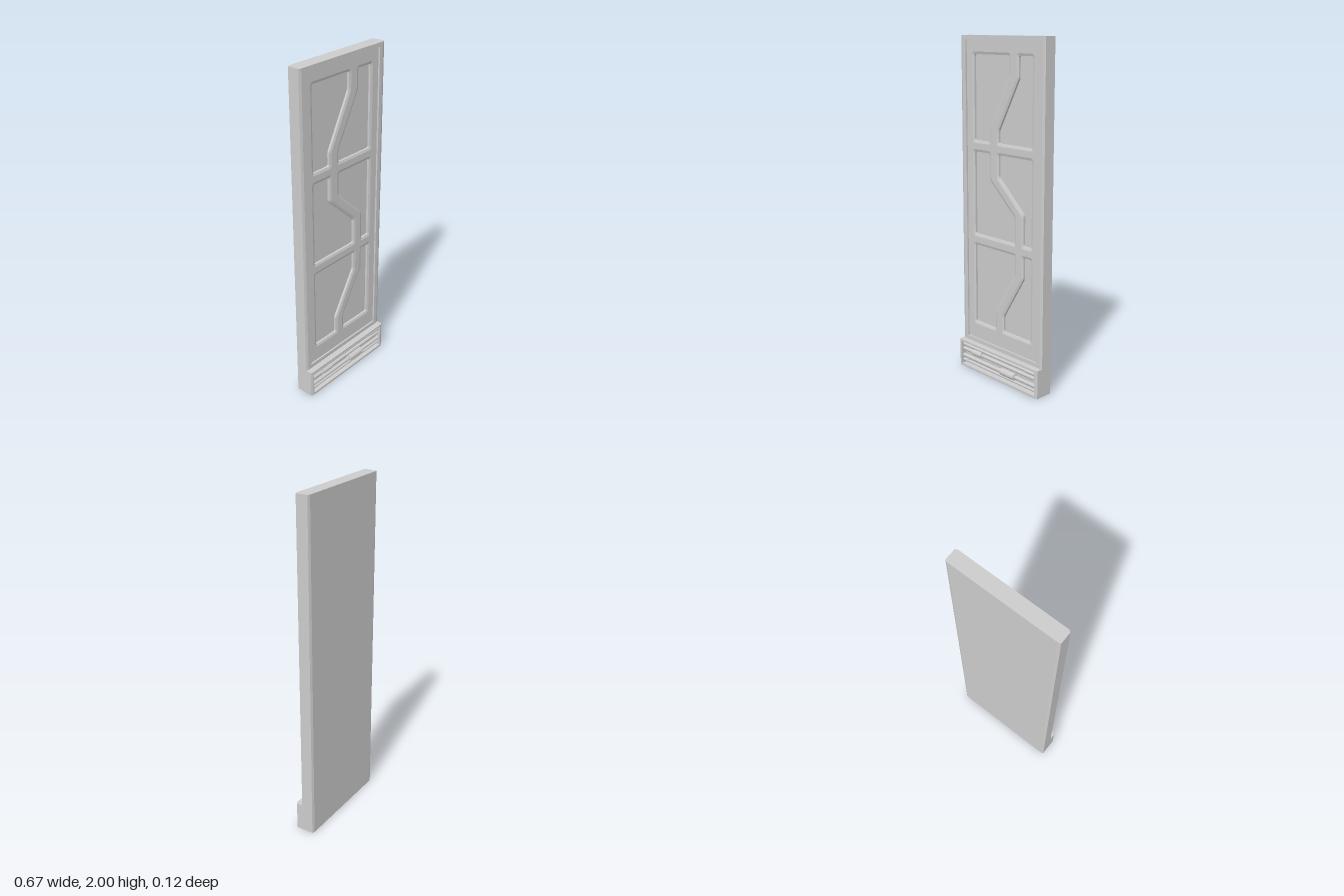
import * as THREE from 'three';

const material = new THREE.MeshStandardMaterial({ color: 0xcccccc });

// Rectangle outline, counter-clockwise seen from the front
const rect = (halfX, y0, y1) => [[-halfX, y0], [halfX, y0], [halfX, y1], [-halfX, y1]]
  .map(([x, y]) => new THREE.Vector2(x, y));

// Moves every edge of an outline inwards, then rounds the corners
function insetRounded(points, inset, radius, steps = 4) {
  const n = points.length;
  const corners = points.map((p, i) => {
    const d1 = p.clone().sub(points[(i + n - 1) % n]).normalize();
    const d2 = points[(i + 1) % n].clone().sub(p).normalize();
    const n1 = new THREE.Vector2(-d1.y, d1.x), n2 = new THREE.Vector2(-d2.y, d2.x);
    return p.clone().addScaledVector(n1.clone().add(n2), inset / (1 + n1.dot(n2)));
  });
  return corners.flatMap((p, i) => {
    const a = corners[(i + n - 1) % n].clone().sub(p).setLength(radius).add(p);
    const b = corners[(i + 1) % n].clone().sub(p).setLength(radius).add(p);
    return new THREE.QuadraticBezierCurve(a, p, b).getPoints(steps);
  });
}

// Faceted skin through matching outlines, each given as [points, z]
function skin(loops) {
  const pos = [];
  for (let k = 0; k + 1 < loops.length; k++) {
    const [a, za] = loops[k], [b, zb] = loops[k + 1];
    a.forEach((p, i) => {
      const j = (i + 1) % a.length, q = a[j], r = b[j], s = b[i];
      pos.push(p.x, p.y, za, q.x, q.y, za, r.x, r.y, zb);
      pos.push(p.x, p.y, za, r.x, r.y, zb, s.x, s.y, zb);
    });
  }
  const g = new THREE.BufferGeometry();
  g.setAttribute('position', new THREE.Float32BufferAttribute(pos, 3));
  g.computeVertexNormals();
  return g;
}

// Flat face with optional holes
function face(points, z, holes = []) {
  const shape = new THREE.Shape(points);
  shape.holes = holes.map((h) => new THREE.Path(h));
  return new THREE.ShapeGeometry(shape).translate(0, 0, z);
}

export function createModel() {
  const model = new THREE.Group();
  const add = (name, geometry, parent = model) => {
    const mesh = new THREE.Mesh(geometry, material);
    mesh.name = name;
    parent.add(mesh);
    return mesh;
  };
  const panelZ = 0.01, floorZ = -0.008;

  // Slab with chamfered long edges and a raised border
  const opening = rect(0.292, 0.195, 1.975);
  add('slab', skin([
    [rect(0.318, 0, 2), -0.061], [rect(0.333, 0, 2), -0.055],
    [rect(0.333, 0, 2), 0.014], [rect(0.318, 0, 2), 0.02],
    [opening, 0.02], [opening, panelZ],
  ]));
  add('slabBack', face(rect(0.318, 0, 2), -0.061).rotateY(Math.PI).translate(0, 0, -0.122));

  // Three rows of pockets, split by a bent rib: [top x, upper bend y, bottom x, lower bend y]
  const rows = [
    { top: 1.91, bottom: 1.395, left: [0.067, 1.79, -0.092, 1.485], right: [0.113, 1.78, -0.046, 1.485] },
    { top: 1.358, bottom: 0.838, left: [-0.092, 1.2, 0.114, 1.012], right: [-0.046, 1.21, 0.155, 1.024] },
    { top: 0.8, bottom: 0.286, left: [0.114, 0.666, -0.044, 0.4], right: [0.155, 0.66, -0.004, 0.4] },
  ];
  const outlines = rows.flatMap(({ top, bottom, left: l, right: r }) => [
    [[-0.247, bottom], [l[2], bottom], [l[2], l[3]], [l[0], l[1]], [l[0], top], [-0.247, top]],
    [[r[2], bottom], [0.246, bottom], [0.246, top], [r[0], top], [r[0], r[1]], [r[2], r[3]]],
  ]).map((pts) => pts.map(([x, y]) => new THREE.Vector2(x, y)));

  const rims = outlines.map((o) => insetRounded(o, 0, 0.02));
  add('panel', face(opening, panelZ, rims));
  const pockets = new THREE.Group();
  pockets.name = 'pockets';
  model.add(pockets);
  outlines.forEach((o, i) => {
    const inner = insetRounded(o, 0.014, 0.01);
    add('pocketWall', skin([[rims[i], panelZ], [inner, 0.005], [inner, floorZ]]), pockets);
    add('pocketFloor', face(inner, floorZ), pockets);
  });

  // Plinth box at the foot, open at the front
  const mouth = rect(0.312, 0.014, 0.158);
  add('plinth', skin([
    [rect(0.333, 0, 0.17), 0], [rect(0.333, 0, 0.17), 0.051],
    [rect(0.318, 0, 0.17), 0.057], [mouth, 0.057], [mouth, 0.021],
  ]));
  add('plinthBack', face(mouth, 0.021));

  // Horizontal rods in the plinth, each carrying one thicker sleeve
  const rod = (name, x0, x1, y, z, radius) => add(name,
    new THREE.CylinderGeometry(radius, radius, x1 - x0, 12)
      .rotateZ(Math.PI / 2).translate((x0 + x1) / 2, y, z));
  [
    { y: 0.137, r: 0.009, sleeve: [0.23, 0.312, 0.013] },
    { y: 0.108, r: 0.011, sleeve: [-0.22, -0.145, 0.018] },
    { y: 0.064, r: 0.012, sleeve: [0.026, 0.14, 0.021] },
    { y: 0.035, r: 0.008, sleeve: [-0.312, -0.275, 0.01] },
  ].forEach(({ y, r, sleeve: [x0, x1, sr] }) => {
    rod('rod', -0.313, 0.313, y, 0.037, r);
    rod('sleeve', x0, x1, y, 0.037, sr);
  });
  return model;
}
